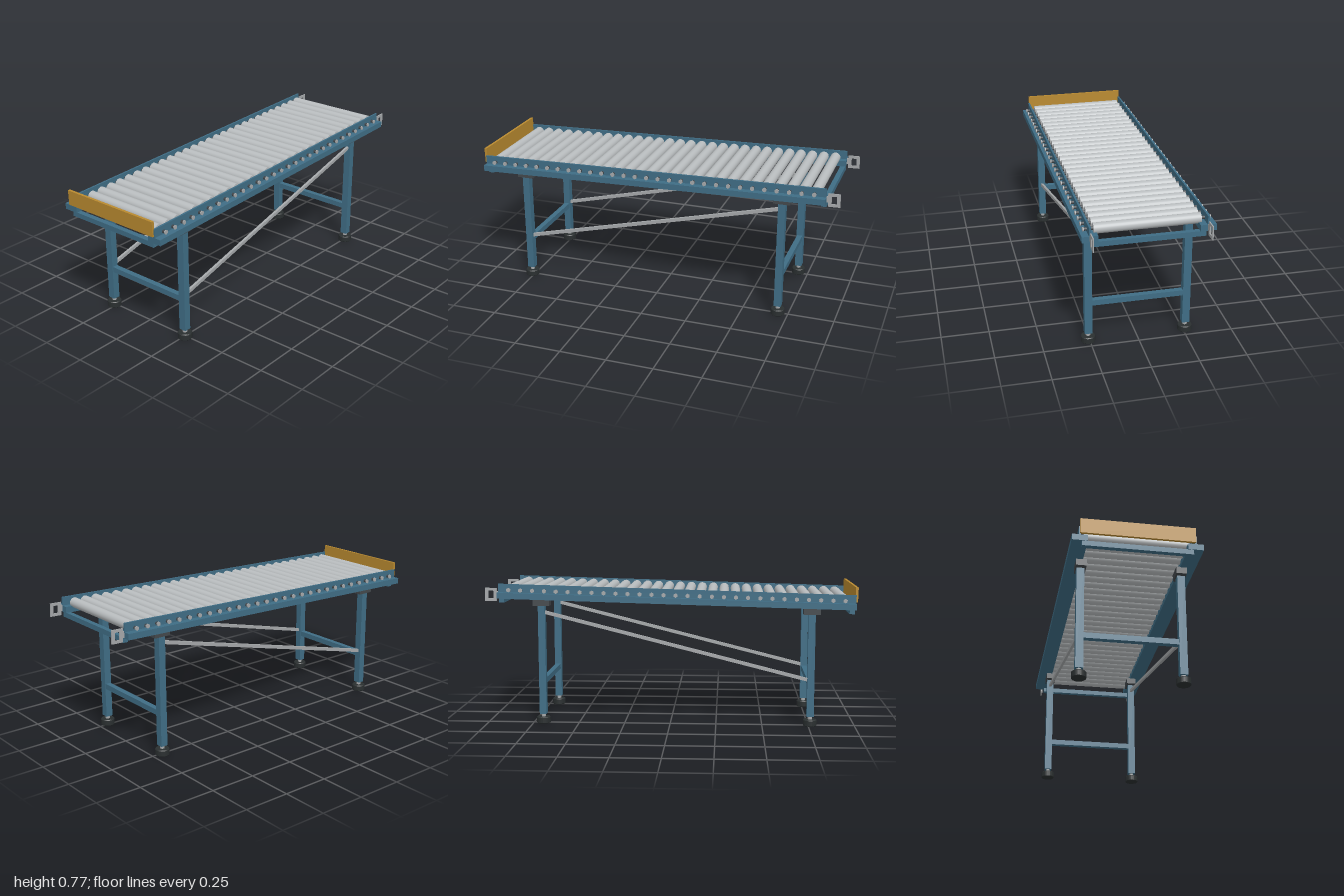
import * as THREE from 'three';

const mat = (color) => new THREE.MeshStandardMaterial({ color });

export function createModel() {
  const blue = mat(0x3f6d85), gold = mat(0xb8892f), black = mat(0x2a2f30);
  const darkGrey = mat(0x43484c), steel = mat(0xa5a8aa), rollerGrey = mat(0xb9bdbf);
  const model = new THREE.Group();
  model.name = 'rollerConveyor';

  function add(parent, name, geometry, material, x, y, z) {
    const mesh = new THREE.Mesh(geometry, material);
    mesh.name = name;
    mesh.position.set(x, y, z);
    parent.add(mesh);
    return mesh;
  }
  const box = (w, h, d) => new THREE.BoxGeometry(w, h, d);
  const axleRod = (r, len, sides) => new THREE.CylinderGeometry(r, r, len, sides).rotateX(Math.PI / 2);

  // Slightly sloping bed; its local y = 0 is the middle of the side tubes
  const slope = 0.0274, bedY = 0.68;
  const bed = new THREE.Group();
  bed.name = 'bed';
  bed.position.y = bedY;
  bed.rotation.z = Math.atan(slope);
  model.add(bed);

  // Square hook plate with a window, joined to the rail by a short tab
  const hook = new THREE.Shape([[0.9, -0.012], [0.933, -0.012], [0.933, -0.034], [0.996, -0.034],
    [0.996, 0.037], [0.933, 0.037], [0.933, 0.02], [0.9, 0.02]].map(([x, y]) => new THREE.Vector2(x, y)));
  hook.holes.push(new THREE.Path([[0.951, -0.019], [0.951, 0.022], [0.978, 0.022], [0.978, -0.019]]
    .map(([x, y]) => new THREE.Vector2(x, y))));
  const hookGeo = new THREE.ExtrudeGeometry(hook, { depth: 0.006, bevelEnabled: false });

  for (const s of [1, -1]) {
    add(bed, 'sideTube', box(1.914, 0.032, 0.08), blue, -0.032, 0, s * 0.29);
    add(bed, 'sidePlate', box(1.914, 0.047, 0.01), blue, -0.032, 0.0375, s * 0.29);
    add(bed, 'hookPlate', hookGeo, steel, 0, 0, s * 0.289 - 0.003);
  }
  for (const x of [-0.972, 0.91]) add(bed, 'endCrossbar', box(0.027, 0.027, 0.56), blue, x, -0.0285, 0);
  add(bed, 'endStop', box(0.014, 0.08, 0.58), gold, -0.991, 0.062, 0);

  // Rollers with their axles and end nuts
  const count = 29;
  const rollerGeo = axleRod(0.0265, 0.53, 24), axleGeo = axleRod(0.009, 0.622, 8);
  const nutGeo = axleRod(0.012, 0.006, 6);
  for (let i = 0; i < count; i++) {
    const x = -0.93 + (1.796 * i) / (count - 1), y = 0.03;
    add(bed, 'roller', rollerGeo, rollerGrey, x, y, 0);
    add(bed, 'axle', axleGeo, darkGrey, x, y, 0);
    for (const s of [1, -1]) add(bed, 'axleNut', nutGeo, steel, x, y, s * 0.313);
  }

  // Leg frames: legs, top brackets, adjustable feet and a low crossbar
  const footGeo = new THREE.LatheGeometry([[0, 0], [0.035, 0], [0.0375, 0.003], [0.0375, 0.031], [0.034, 0.035], [0, 0.035]]
    .map(([x, y]) => new THREE.Vector2(x, y)), 24);
  const footMat = black.clone();
  footMat.flatShading = true;
  for (const [name, x] of [['lowEndLegs', -0.76], ['highEndLegs', 0.695]]) {
    const frame = new THREE.Group();
    frame.name = name;
    frame.position.x = x;
    model.add(frame);
    const top = bedY + slope * x - 0.016;
    for (const s of [1, -1]) {
      add(frame, 'leg', box(0.038, top - 0.052, 0.04), blue, 0, (top + 0.052) / 2, s * 0.259);
      add(frame, 'legBracket', box(0.09, 0.038, 0.054), darkGrey, 0, top - 0.017, s * 0.2575);
      add(frame, 'footStem', new THREE.CylinderGeometry(0.012, 0.012, 0.03, 16), steel, 0, 0.045, s * 0.259);
      add(frame, 'foot', footGeo, footMat, 0, 0, s * 0.259);
    }
    add(frame, 'lowCrossbar', box(0.03, 0.03, 0.49), blue, 0, 0.23, 0);
  }

  // Diagonal braces between the leg pairs
  const from = new THREE.Vector2(-0.75, 0.25), to = new THREE.Vector2(0.69, 0.613);
  const run = to.clone().sub(from);
  for (const s of [1, -1]) {
    const brace = add(model, 'diagonalBrace', box(run.length(), 0.018, 0.014), steel,
      (from.x + to.x) / 2, (from.y + to.y) / 2, s * 0.259);
    brace.rotation.z = run.angle();
  }
  return model;
}
